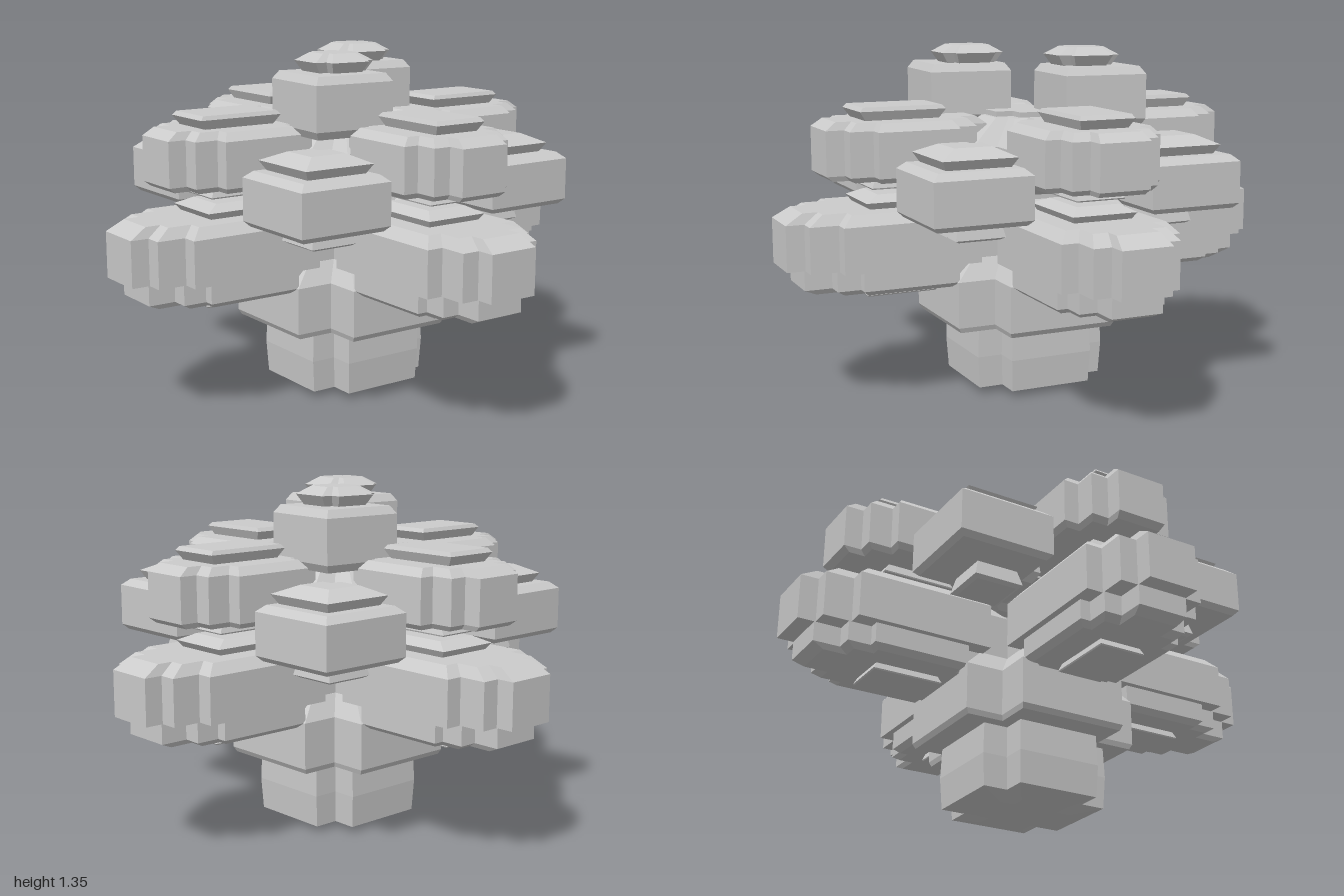
import * as THREE from 'three';

const material = new THREE.MeshStandardMaterial({ color: 0xcccccc, flatShading: true });

// Plan outline from the corners of one quadrant's staircase, mirrored four ways
function stairs(corners) {
  const q = [];
  corners.forEach(([x, z], i) => {
    if (i) q.push([x, corners[i - 1][1]]);
    q.push([x, z]);
  });
  const r = [...q].reverse();
  return [
    ...q,
    ...r.map(([x, z]) => [-x, z]),
    ...q.map(([x, z]) => [-x, -z]),
    ...r.map(([x, z]) => [x, -z]),
  ];
}

// Stack a plan outline at several levels [height, scale] and close both ends
function stack(plan, levels) {
  const n = plan.length, pos = [], index = [];
  for (const [y, s] of levels) for (const [x, z] of plan) pos.push(x * s, y, z * s);
  for (let l = 0; l < levels.length - 1; l++) {
    for (let i = 0; i < n; i++) {
      const a = l * n + i, b = l * n + (i + 1) % n;
      index.push(a, a + n, b, b, a + n, b + n);
    }
  }
  const top = (levels.length - 1) * n;
  const ends = THREE.ShapeUtils.triangulateShape(plan.map(([x, z]) => new THREE.Vector2(x, z)), []);
  for (const [a, b, c] of ends) index.push(a, b, c, top + a, top + c, top + b);
  const g = new THREE.BufferGeometry();
  g.setAttribute('position', new THREE.Float32BufferAttribute(pos, 3));
  g.setIndex(index);
  const flat = g.toNonIndexed();
  flat.computeVertexNormals();
  return flat;
}

function add(parent, name, plan, levels, x = 0, z = 0) {
  const mesh = new THREE.Mesh(stack(plan, levels), material);
  mesh.name = name;
  mesh.position.set(x, 0, z);
  parent.add(mesh);
  return mesh;
}

// Four copies of a lobe around the trunk
function ring(parent, name, build, count = 4, start = 0) {
  for (let i = 0; i < count; i++) {
    const g = new THREE.Group();
    g.name = name + (i + 1);
    build(g);
    g.rotation.y = start + (i * Math.PI * 2) / count;
    parent.add(g);
  }
}

export function createModel() {
  const model = new THREE.Group();
  model.name = 'blockTree';

  // Trunk, collar and inner column
  add(model, 'trunk', stairs([[0.27, 0.17], [0.17, 0.27]]), [[0, 0.55], [0.025, 0.97], [0.15, 1], [0.28, 0.98]]);
  add(model, 'collar', stairs([[0.37, 0.22], [0.22, 0.37]]), [[0.27, 0.97], [0.29, 1], [0.47, 1], [0.55, 0.78]]);
  add(model, 'column', stairs([[0.15, 0.08], [0.08, 0.15]]), [[0.5, 1], [1.1, 1]]);
  add(model, 'crownCore', stairs([[0.3, 0.2], [0.2, 0.3]]), [[0.78, 0.6], [0.86, 1], [0.98, 1], [1.08, 0.55]]);

  // Lower lobes on the four axes
  const lowPlan = stairs([[0.45, 0.1], [0.38, 0.17], [0.27, 0.235]]);
  const lowUnder = stairs([[0.385, 0.1], [0.28, 0.17], [0.19, 0.21]]);
  const longCap = stairs([[0.15, 0.1]]);
  ring(model, 'lowerLobe', (g) => {
    add(g, 'lobeBody', lowPlan, [[0.545, 1], [0.72, 1], [0.76, 0.85]], 0.55);
    add(g, 'lobeUnderside', lowUnder, [[0.45, 0.88], [0.47, 1], [0.56, 1]], 0.55);
    add(g, 'lobeCap', stairs([[0.17, 0.13]]), [[0.74, 0.8], [0.785, 1], [0.81, 0.65]], 0.53);
    add(g, 'lobeFoot', longCap, [[0.42, 0.9], [0.425, 0.93], [0.47, 0.78]], 0.55);
  });

  // Middle lobes on the diagonals, notched toward the trunk
  const midPlan = [
    [0.19, -0.19], [0.19, 0.19], [-0.19, 0.19], [-0.19, -0.08], [-0.08, -0.08], [-0.08, -0.19],
  ];
  const midCap = [
    [0.145, -0.145], [0.145, 0.145], [-0.16, 0.145], [-0.16, -0.07], [-0.07, -0.07], [-0.07, -0.16],
  ];
  ring(model, 'middleLobe', (g) => {
    add(g, 'lobeBody', midPlan, [[0.75, 0.9], [0.77, 1], [0.93, 1], [0.955, 0.85]], 0.43, 0.43);
    add(g, 'lobeNeck', stairs([[0.12, 0.12]]), [[0.78, 0.8], [0.82, 1], [0.93, 0.9]], 0.28, 0.28);
    add(g, 'lobeCap', midCap, [[0.94, 0.8], [0.99, 1], [1.025, 0.5]], 0.42, 0.42);
    add(g, 'lobeFoot', stairs([[0.1, 0.1]]), [[0.68, 0.8], [0.69, 0.98], [0.76, 0.8]], 0.39, 0.39);
  });

  // Upper lobes on the axes
  const highPlan = stairs([[0.32, 0.1], [0.25, 0.17], [0.16, 0.23]]);
  ring(model, 'upperLobe', (g) => {
    add(g, 'lobeBody', highPlan, [[0.87, 0.92], [0.89, 1], [1.06, 1], [1.09, 0.87]], 0.52);
    add(g, 'lobeCap', stairs([[0.17, 0.11]]), [[1.08, 0.82], [1.125, 1], [1.14, 0.92]], 0.54);
    add(g, 'lobeFoot', longCap, [[0.83, 0.95], [0.835, 0.97], [0.88, 0.8]], 0.52);
  });

  // Pair of top blocks on one diagonal
  ring(model, 'topBlock', (g) => {
    const body = add(g, 'blockBody', stairs([[0.165, 0.165]]), [[1.05, 0.9], [1.08, 1], [1.25, 1], [1.28, 0.88]], 0.195, 0.195);
    const cap = add(g, 'blockCap', stairs([[0.125, 0.08], [0.08, 0.125]]), [[1.27, 0.75], [1.32, 1], [1.35, 0.6]], 0.17, 0.17);
    body.rotation.y = cap.rotation.y = -0.07;
  }, 2);

  return model;
}
